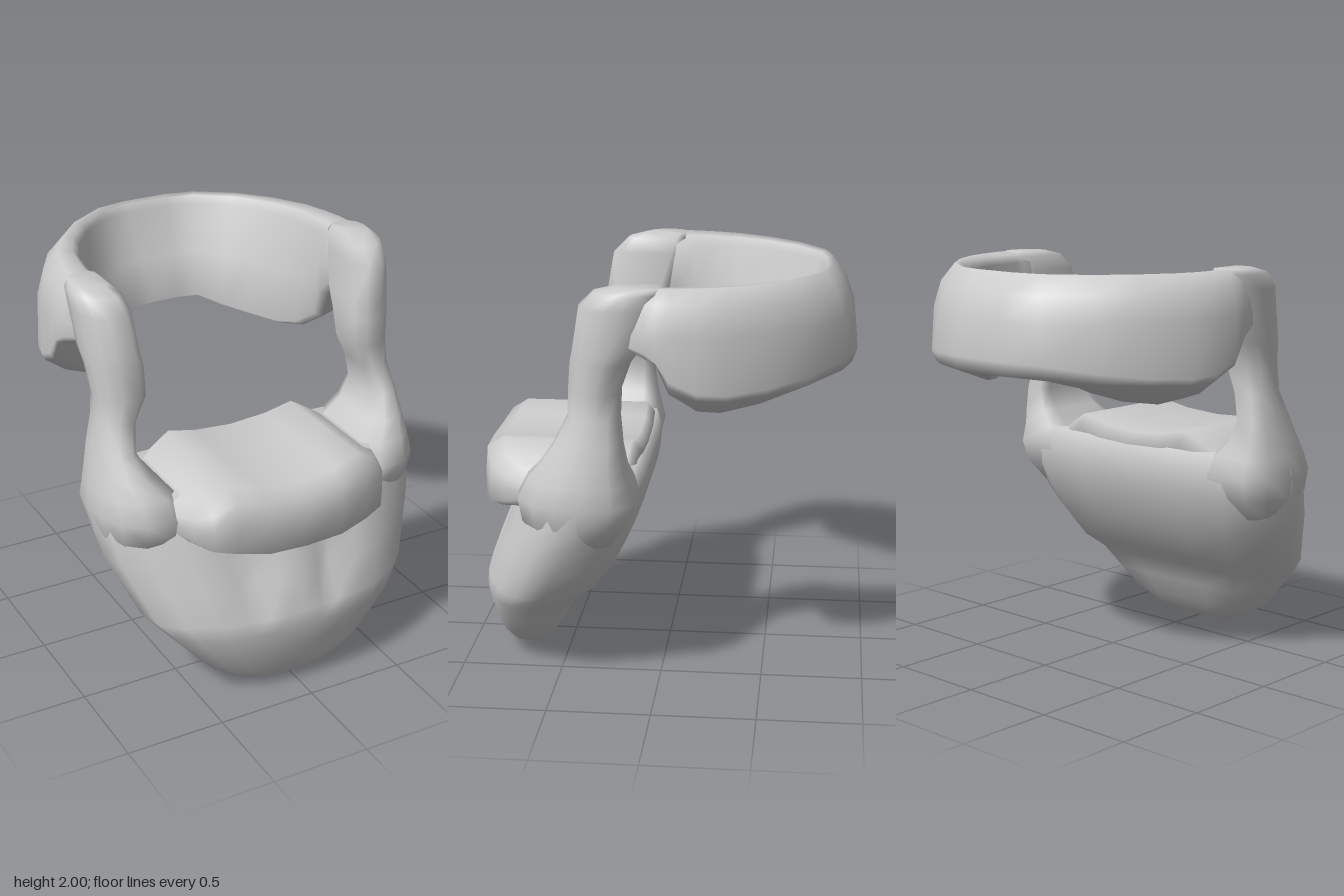
import * as THREE from 'three';

const material = new THREE.MeshStandardMaterial({ color: 0xcccccc });

// Skin a closed, capped surface over a list of rings of [x, y, z] points.
function loft(name, rings) {
  const n = rings[0].length;
  const pos = rings.flat(2);
  const index = [];
  for (let r = 0; r < rings.length - 1; r++) {
    for (let i = 0; i < n; i++) {
      const a = r * n + i, b = r * n + (i + 1) % n;
      index.push(a, b, a + n, b, b + n, a + n);
    }
  }
  for (const r of [0, rings.length - 1]) {
    const c = pos.length / 3;
    for (let k = 0; k < 3; k++) pos.push(rings[r].reduce((s, p) => s + p[k], 0) / n);
    for (let i = 0; i < n; i++) {
      const a = r * n + i, b = r * n + (i + 1) % n;
      index.push(...(r === 0 ? [c, b, a] : [c, a, b]));
    }
  }
  // Signed volume tells whether the faces look outward
  const v = (i) => new THREE.Vector3().fromArray(pos, i * 3);
  let volume = 0;
  for (let i = 0; i < index.length; i += 3) {
    volume += v(index[i]).dot(v(index[i + 1]).cross(v(index[i + 2])));
  }
  if (volume < 0) index.reverse();
  const g = new THREE.BufferGeometry();
  g.setAttribute('position', new THREE.Float32BufferAttribute(pos, 3));
  g.setIndex(index);
  g.computeVertexNormals();
  const mesh = new THREE.Mesh(g, material);
  mesh.name = name;
  return mesh;
}

// Beard: flat sloping back, rounded front. Rows: y, half width, back z, front z
function beard() {
  const rows = [
    [0, 0.18, 0.71, 0.78], [0.05, 0.3, 0.62, 0.84], [0.13, 0.43, 0.55, 0.88],
    [0.25, 0.54, 0.48, 0.91], [0.36, 0.64, 0.42, 0.93], [0.44, 0.715, 0.32, 0.92],
    [0.6, 0.785, 0.21, 0.86], [0.72, 0.835, 0.15, 0.81], [0.85, 0.865, 0.1, 0.76],
    [0.97, 0.875, 0.09, 0.71], [1.06, 0.86, 0.12, 0.64],
  ];
  // Half outline: fraction of width, fraction of depth
  const half = [[0, 0], [0.4, 0], [0.72, 0.02], [0.93, 0.2], [1, 0.42],
    [0.96, 0.63], [0.82, 0.79], [0.62, 0.9], [0.42, 0.965], [0.26, 0.985], [0.13, 1], [0, 1]];
  const outline = [...half, ...half.slice(1, -1).reverse().map(([x, z]) => [-x, z])];
  return loft('beard', rows.map(([y, w, zb, zf]) => outline.map(([x, z]) => {
    // shallow grooves below the moustache
    const groove = Math.abs(x) === 0.26 && z > 0.5 && y > 0.55 && y < 0.9 ? 0.06 : 0;
    return [x * w, y, zb + z * (zf - zb) - groove];
  })));
}

// Moustache: slab across the beard. Stations: x, top, bottom, front z, back z
function moustache() {
  const side = [[0.62, 1.0, 0.9, 0.56, 0.2], [0.52, 1.05, 0.86, 0.76, 0.16], [0.46, 1.09, 0.84, 0.845, 0.13],
    [0.35, 1.155, 0.82, 0.885, 0.115], [0.2, 1.12, 0.79, 0.91, 0.11]];
  const stations = [...side.map(([x, ...r]) => [-x, ...r]), [0, 1.105, 0.79, 0.925, 0.11], ...side.reverse()];
  return loft('moustache', stations.map(([x, t, b, f, k]) => [
    [k + 0.06, 0.88], [k, t - 0.05], [k + 0.04, t], [0.4, t], [f - 0.09, t], [f - 0.01, t - 0.05],
    [f, (t + b) / 2], [f, b + 0.02], [f - 0.06, b], [0.4, b],
  ].map(([z, y]) => [x, y, z])));
}

// Sideburn and cheek: rows of y, inner x, outer x, back z, front z; the lowest rows sink into the beard
function sideburn(s) {
  const rows = [
    [0.74, 0.5, 0.8, 0.22, 0.56], [0.85, 0.5, 0.858, 0.13, 0.66], [0.96, 0.49, 0.876, 0.095, 0.68],
    [1.06, 0.52, 0.862, 0.12, 0.63],
    [1.14, 0.61, 0.845, 0.14, 0.56], [1.25, 0.66, 0.825, 0.155, 0.485], [1.38, 0.63, 0.8, 0.17, 0.42],
    [1.5, 0.575, 0.795, 0.17, 0.42], [1.64, 0.575, 0.81, 0.12, 0.41], [1.72, 0.585, 0.82, 0.06, 0.395],
    [1.9, 0.605, 0.83, 0, 0.365], [1.975, 0.62, 0.83, -0.02, 0.29], [2, 0.65, 0.8, -0.02, 0.19],
  ];
  const section = [[0.15, 0], [0.72, 0.01], [0.94, 0.18], [1, 0.42], [0.96, 0.64], [0.82, 0.83],
    [0.58, 0.97], [0.2, 1], [0, 0.85], [0, 0.15]];
  return loft(s > 0 ? 'leftSideburn' : 'rightSideburn', rows.map(([y, xi, xo, zb, zf]) =>
    section.map(([u, w]) => [s * (xi + u * (xo - xi)), y, zb + w * (zf - zb)])));
}

// Hair band round the back of the head.
// Stations: outer x, z; inner top x, z; inner bottom x, z; lowest y; lift of the outer lower edge
function hairBand() {
  const side = [
    [0.79, 0.16, 0.65, 0.16, 0.65, 0.16, 1.72, 0.02],
    [0.835, 0.04, 0.62, 0.04, 0.61, 0.04, 1.67, 0.02],
    [0.855, -0.01, 0.62, -0.02, 0.6, 0, 1.62, 0.05],
    [0.86, -0.07, 0.62, -0.08, 0.6, -0.05, 1.48, 0.08],
    [0.85, -0.2, 0.61, -0.17, 0.56, -0.18, 1.39, 0.11],
    [0.815, -0.33, 0.59, -0.3, 0.5, -0.28, 1.37, 0.12],
    [0.72, -0.52, 0.52, -0.46, 0.4, -0.41, 1.39, 0.11],
    [0.58, -0.7, 0.41, -0.61, 0.29, -0.485, 1.43, 0.08],
    [0.35, -0.88, 0.25, -0.73, 0.18, -0.535, 1.485, 0.05],
    [0.15, -0.93, 0.11, -0.76, 0.07, -0.55, 1.49, 0.04],
  ];
  const stations = [...side, ...side.slice().reverse().map((r) =>
    r.map((v, i) => (i === 0 || i === 2 || i === 4 ? -v : v)))];
  return loft('hairBand', stations.map(([ox, oz, tx, tz, bx, bz, yb, lift]) => {
    const top = (t, y) => [tx + (ox - tx) * t, y, tz + (oz - tz) * t];
    const low = (t, y) => [bx + (ox - bx) * t, y, bz + (oz - bz) * t];
    const k = Math.max(0, -oz); // the upper edge rounds off more towards the back
    return [
      top(0, 1.95), top(0.2 - 0.15 * k, 1.99), top(0.6 - 0.4 * k, 2),
      top(0.88 - 0.25 * k, 1.94 - 0.04 * k), top(1 - 0.12 * k, 1.8 - 0.02 * k),
      low(1, yb + 0.35 * (1.8 - yb)), low(0.94, yb + lift), low(0.6, yb + lift * 0.35),
      low(0.2, yb), low(0, yb + 0.03),
      [(tx + bx) / 2, (1.95 + yb) / 2, (tz + bz) / 2],
    ];
  }));
}

export function createModel() {
  const model = new THREE.Group();
  model.name = 'beardAndHair';
  model.add(beard(), moustache(), sideburn(1), sideburn(-1), hairBand());
  return model;
}
